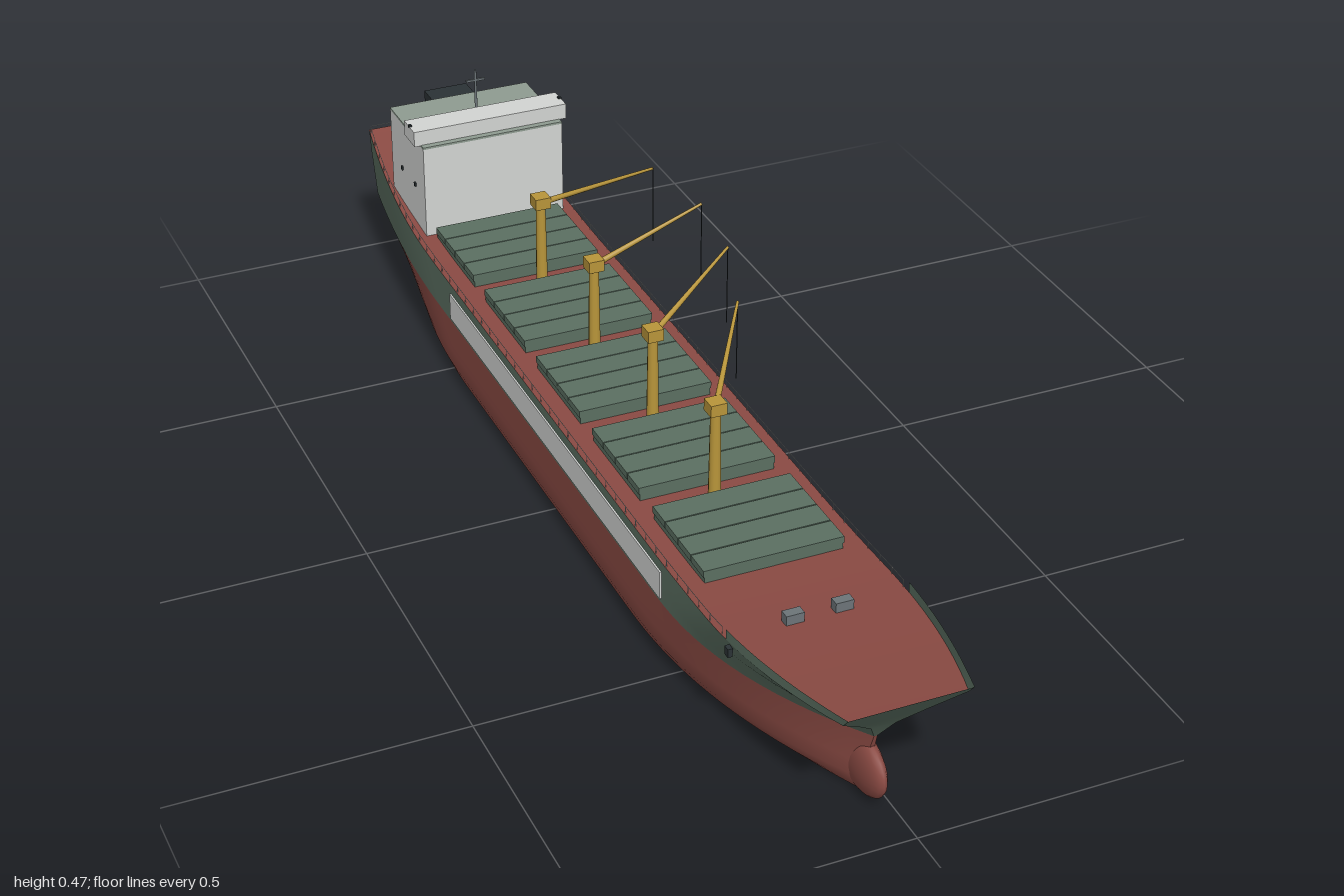
import * as THREE from 'three';
import { toCreasedNormals } from 'three/addons/utils/BufferGeometryUtils.js';

const CX = -0.022; // ship centreline
const N = 64;      // stations along the hull

const mat = (name, color, side = THREE.FrontSide) => {
  const m = new THREE.MeshStandardMaterial({ color, side });
  m.name = name;
  return m;
};

// deck height along the ship
const sheer = z => 0.198 + 0.036 * Math.max(0, (z - 0.45) / 0.55) ** 1.7
  + 0.052 * Math.max(0, (-z - 0.5) / 0.5) ** 2;

// waterlines: height, half breadth, stern z, stern half, stern taper start, stem z, stem half, bow taper start
const LOWER = [
  [0, 0.130, -0.98, 0.002, -0.40, 0.86, 0.006, 0.32],
  [0.012, 0.147, -0.98, 0.012, -0.42, 0.87, 0.008, 0.34],
  [0.03, 0.153, -0.98, 0.030, -0.45, 0.88, 0.008, 0.37],
  [0.06, 0.154, -0.98, 0.060, -0.48, 0.885, 0.006, 0.40],
  [0.09, 0.154, -0.98, 0.088, -0.50, 0.89, 0.004, 0.43],
  [0.122, 0.154, -0.982, 0.115, -0.53, 0.90, 0.003, 0.46],
];
// for the topsides the first value is the fraction from waterline to deck
const UPPER = [
  [0, 0.154, -0.982, 0.115, -0.53, 0.90, 0.003, 0.46],
  [0.33, 0.154, -0.988, 0.117, -0.56, 0.922, 0.02, 0.50],
  [0.66, 0.154, -0.994, 0.119, -0.58, 0.952, 0.055, 0.56],
  [1, 0.154, -1.0, 0.120, -0.60, 0.985, 0.10, 0.62],
];

function halfWidth([, mid, z0, e0, s0, z1, e1, s1], z) {
  if (z > s1) return e1 + (mid - e1) * (1 - ((z - s1) / (z1 - s1)) ** 2.1);
  if (z < s0) return e0 + (mid - e0) * (1 - ((s0 - z) / (s0 - z0)) ** 1.9);
  return mid;
}

// closed ring of points: port side stern to bow, then starboard back
function ring(row, upper) {
  const port = [];
  for (let i = 0; i <= N; i++) {
    const z = row[2] + (row[5] - row[2]) * i / N;
    const y = upper ? 0.122 + (sheer(z) - 0.122) * row[0] : row[0];
    port.push([halfWidth(row, z), y, z]);
  }
  return [...port, ...port.slice().reverse().map(([x, y, z]) => [-x, y, z])];
}

function fromQuads(quads, crease = 0.6) {
  const pos = [];
  for (const [a, b, c, d] of quads) pos.push(...a, ...b, ...c, ...a, ...c, ...d);
  const g = new THREE.BufferGeometry();
  g.setAttribute('position', new THREE.Float32BufferAttribute(pos, 3));
  g.computeVertexNormals();
  return toCreasedNormals(g, crease);
}

function sideQuads(rings) {
  const q = [];
  for (let j = 0; j < rings.length - 1; j++) {
    const lo = rings[j], hi = rings[j + 1], n = lo.length;
    for (let i = 0; i < n; i++) {
      const k = (i + 1) % n;
      q.push([lo[i], hi[i], hi[k], lo[k]]);
    }
  }
  return q;
}

function capQuads(r, up) {
  const q = [], last = r.length - 1;
  for (let i = 0; i < N; i++) {
    const quad = [r[i], r[i + 1], r[last - i - 1], r[last - i]];
    q.push(up ? quad.reverse() : quad);
  }
  return q;
}

export function createModel() {
  const root = new THREE.Group();
  root.name = 'cargoShip';
  const ship = new THREE.Group();
  ship.name = 'ship';
  ship.position.x = CX;
  root.add(ship);

  const red = mat('hull red', 0x8a4a43);
  const green = mat('hull green', 0x5b6f61);
  const greenSheet = mat('bulwark green', 0x5b6f61, THREE.DoubleSide);
  const white = mat('house white', 0xd2d4d2);
  const roofGrey = mat('roof grey green', 0x8e9b90);
  const yellow = mat('crane yellow', 0xb8953a);
  const dark = mat('funnel dark', 0x2b3235);
  const steel = mat('steel grey', 0x6c7478);

  const add = (name, geo, material, x = 0, y = 0, z = 0, parent = ship) => {
    const m = new THREE.Mesh(geo, material);
    m.name = name;
    m.position.set(x, y, z);
    parent.add(m);
    return m;
  };
  // box given by its x, y and z ranges
  const box = (name, material, x0, x1, y0, y1, z0, z1) =>
    add(name, new THREE.BoxGeometry(x1 - x0, y1 - y0, z1 - z0), material,
      (x0 + x1) / 2, (y0 + y1) / 2, (z0 + z1) / 2);
  // round bar between two points
  const bar = (name, material, a, b, r0, r1 = r0, sides = 6) => {
    const p = new THREE.Vector3(...a), d = new THREE.Vector3(...b).sub(p);
    const m = add(name, new THREE.CylinderGeometry(r1, r0, d.length(), sides), material);
    m.position.copy(p).addScaledVector(d, 0.5);
    m.quaternion.setFromUnitVectors(new THREE.Vector3(0, 1, 0), d.normalize());
    return m;
  };

  // hull and deck
  const low = LOWER.map(r => ring(r, false)), top = UPPER.map(r => ring(r, true));
  add('lowerHull', fromQuads([...sideQuads(low), ...capQuads(low[0], false)]), red);
  add('upperHull', fromQuads(sideQuads(top)), green);
  const edge = top[top.length - 1];
  add('deck', fromQuads(capQuads(edge, true)), red);
  const bulb = add('bulbousBow', new THREE.SphereGeometry(1, 20, 14), red, 0, 0.051, 0.86);
  bulb.scale.set(0.021, 0.051, 0.075);

  // bulwark round the bow
  const rim = edge.filter(p => p[2] > 0.7);
  const raised = rim.map(([x, y, z]) => [x, y + 0.018, z + 0.015 * ((z - 0.7) / 0.285) ** 2]);
  add('bowBulwark', fromQuads(rim.slice(1).map((p, i) => [rim[i], raised[i], raised[i + 1], p])), greenSheet);

  for (const s of [-1, 1]) {
    // side panel, anchor and railing
    box('sidePanel', white, s * 0.155 - 0.002, s * 0.155 + 0.002, 0.13, 0.18, -0.46, 0.475);
    box('anchor', dark, s * 0.154 - 0.004, s * 0.154 + 0.004, 0.19, 0.205, 0.715, 0.727);
    let prev = null;
    for (let z = 0.69; z > -1; z -= 0.04) {
      const x = s * (halfWidth(UPPER[3], z) - 0.002), y = sheer(z);
      bar('railPost', white, [x, y, z], [x, y + 0.013, z], 0.0006, 0.0006, 4);
      if (prev) bar('rail', white, prev, [x, y + 0.013, z], 0.0006, 0.0006, 4);
      prev = [x, y + 0.013, z];
    }
    // deck winch
    box('winch', steel, s * 0.041 - 0.015, s * 0.041 + 0.015, 0.2, 0.225, 0.695, 0.712);
  }
  bar('sternRail', white, [-0.118, 0.262, -0.99], [0.118, 0.262, -0.99], 0.0006, 0.0006, 4);

  // cargo hatches with panelled covers
  for (let h = 0; h < 5; h++) {
    const z0 = -0.63 + h * 0.2475, step = 0.195 / 4;
    box('hatchCoaming', green, -0.117, 0.117, 0.19, 0.214, z0 + 0.001, z0 + 0.194);
    for (let i = 0; i < 4; i++) {
      box('hatchCover', green, -0.119, 0.119, 0.21, 0.222, z0 + i * step + 0.001, z0 + (i + 1) * step - 0.001);
    }
  }

  // deck cranes: mast z, jib tip x and z
  for (const [z, tx, tz] of [[0.333, 0.112, 0.17], [0.087, 0.173, 0], [-0.163, 0.196, -0.156], [-0.407, 0.172, -0.308]]) {
    bar('craneMast', yellow, [0, 0.19, z], [0, 0.355, z], 0.0105, 0.0085, 12);
    box('craneHead', yellow, -0.014, 0.014, 0.35, 0.371, z - 0.014, z + 0.014);
    bar('craneJib', yellow, [0, 0.357, z], [tx, 0.437, tz], 0.0055, 0.0025, 8);
    bar('craneCable', dark, [tx, 0.437, tz], [tx, 0.293, tz], 0.0009, 0.0009, 4);
  }

  // deckhouse and bridge
  box('deckhouse', white, -0.134, 0.135, 0.19, 0.378, -0.82, -0.64);
  box('deckhouseRoof', roofGrey, -0.134, 0.135, 0.378, 0.382, -0.82, -0.64);
  box('bridge', white, -0.146, 0.148, 0.381, 0.41, -0.705, -0.652);
  for (const x of [-0.144, 0.146]) box('navigationLight', dark, x - 0.003, x + 0.003, 0.408, 0.413, -0.682, -0.676);
  for (const s of [-1, 1]) {
    for (const z of [-0.69, -0.76]) box('porthole', dark, s * 0.135 - 0.002, s * 0.135 + 0.002, 0.282, 0.289, z - 0.003, z + 0.003);
  }

  // signal mast
  bar('signalMast', steel, [0, 0.38, -0.724], [0, 0.475, -0.724], 0.0028, 0.0022, 8);
  box('signalYard', steel, -0.018, 0.018, 0.453, 0.457, -0.726, -0.722);

  // funnel with painted band
  box('funnel', dark, -0.041, 0.042, 0.2, 0.365, -0.894, -0.836);
  box('funnelBand', yellow, -0.043, 0.044, 0.315, 0.338, -0.896, -0.834);

  return root;
}
